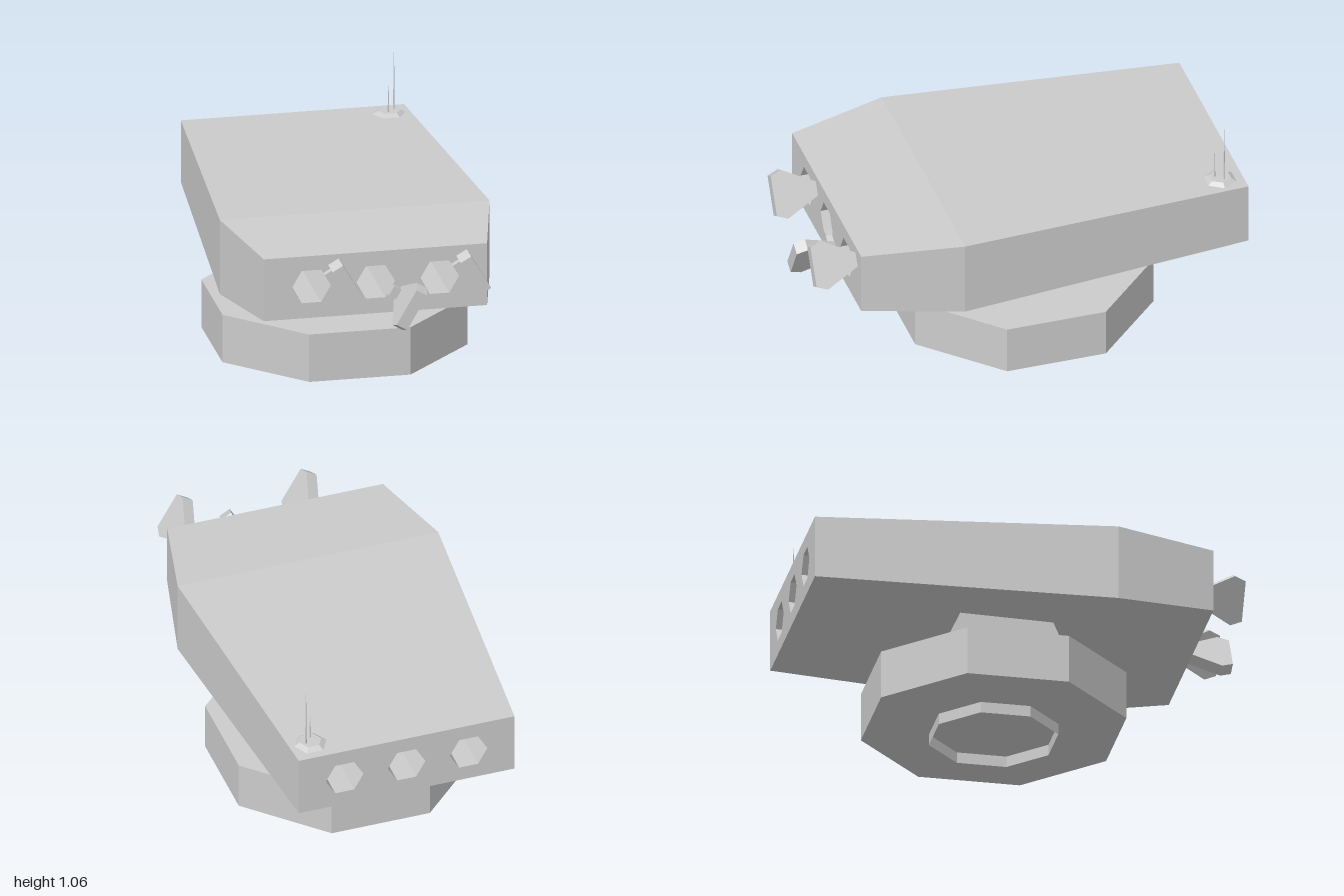
import * as THREE from 'three';

const mat = new THREE.MeshStandardMaterial({ color: 0xcccccc, flatShading: true });
const thin = new THREE.MeshStandardMaterial({ color: 0xcccccc, flatShading: true, side: THREE.DoubleSide });

const HOLE_X = [-0.29, 0, 0.29], HOLE_Y = 0.63, HOLE_R = 0.088;
// Hull sections, front to back: z, half width, bottom, top
const SECTIONS = [
  [0.8, 0.505, 0.482, 0.774],
  [0.35, 0.61, 0.454, 0.804],
  [-1, 0.505, 0.485, 0.776],
];

function add(parent, name, geometry, x = 0, y = 0, z = 0, material = mat) {
  const mesh = new THREE.Mesh(geometry, material);
  mesh.name = name;
  mesh.position.set(x, y, z);
  parent.add(mesh);
  return mesh;
}

const polygon = (pts) => new THREE.Shape(pts.map(([x, y]) => new THREE.Vector2(x, y)));

// Regular prism around y, turned by an angle
function prism(rTop, rBottom, height, sides, turn, open = false) {
  return new THREE.CylinderGeometry(rTop, rBottom, height, sides, 1, open).rotateY(turn);
}

function hullSides() {
  const rings = SECTIONS.map(([z, w, b, t]) => [[-w, b, z], [w, b, z], [w, t, z], [-w, t, z]]);
  const pos = [];
  for (let s = 0; s < rings.length - 1; s++) {
    const a = rings[s], b = rings[s + 1];
    for (let i = 0; i < 4; i++) {
      const j = (i + 1) % 4;
      pos.push(...a[i], ...b[i], ...b[j], ...a[i], ...b[j], ...a[j]);
    }
  }
  const g = new THREE.BufferGeometry();
  g.setAttribute('position', new THREE.Float32BufferAttribute(pos, 3));
  g.computeVertexNormals();
  return g;
}

// End wall pierced by the three hexagonal tubes
function endWall([, w, b, t]) {
  const shape = polygon([[-w, b], [w, b], [w, t], [-w, t]]);
  for (const x of HOLE_X) {
    const hex = [];
    for (let k = 0; k < 6; k++) {
      const a = -k * Math.PI / 3;
      hex.push([x + HOLE_R * Math.cos(a), HOLE_Y + HOLE_R * Math.sin(a)]);
    }
    shape.holes.push(polygon(hex));
  }
  return new THREE.ShapeGeometry(shape);
}

// Side profile (z, y) extruded across x
function crossBlock(profile, width) {
  return new THREE.ExtrudeGeometry(polygon(profile), { depth: width, bevelEnabled: false })
    .translate(0, 0, -width / 2).rotateY(-Math.PI / 2);
}

// Opened tube cover, hinged on one edge of its hexagonal hole
function tubeCover(holeX, outward) {
  const cover = new THREE.Group();
  cover.name = 'tubeCover';
  const t = 0.055, reach = 0.142;
  const outline = [[-0.032, 0.8], [0.032, 0.8], [0.11, 0.95], [0.09, 1], [-0.09, 1], [-0.11, 0.95]];
  const plate = new THREE.ExtrudeGeometry(polygon(outline), { depth: t, bevelEnabled: false })
    .translate(0, 0, -t / 2).rotateX(Math.PI / 2);
  add(cover, 'coverPlate', plate, 0, reach, 0);
  add(cover, 'coverHinge', new THREE.BoxGeometry(0.05, 0.045, 0.04), 0, reach - 0.043, 0.81);
  cover.position.set(holeX, HOLE_Y, 0);
  cover.rotation.z = outward - Math.PI / 2;
  return cover;
}

export function createModel() {
  const model = new THREE.Group();
  model.name = 'launcherTurret';

  // Hull with straight-through launch tubes
  const hull = new THREE.Group();
  hull.name = 'hull';
  model.add(hull);
  add(hull, 'hullShell', hullSides());
  add(hull, 'frontWall', endWall(SECTIONS[0]), 0, 0, 0.8);
  add(hull, 'backWall', endWall(SECTIONS[2]), 0, 0, -1, thin);
  for (const x of HOLE_X) {
    const tube = prism(HOLE_R, HOLE_R, 1.8, 6, Math.PI / 2, true).rotateX(Math.PI / 2);
    add(hull, 'launchTube', tube, x, HOLE_Y, -0.1, thin);
  }

  // Covers swing up on the outer tubes and down on the middle one
  HOLE_X.forEach((x, i) => model.add(tubeCover(x, (i === 1 ? -1 : 1) * Math.PI / 6)));

  // Tapered neck, with cheeks reaching further into the hull
  add(model, 'neck', crossBlock([[0.2, 0.275], [0.085, 0.54], [-0.268, 0.54], [-0.39, 0.275]], 0.58));
  for (const s of [-1, 1]) {
    add(model, 'neckCheek', crossBlock([[0.085, 0.54], [0.075, 0.565], [-0.257, 0.565], [-0.268, 0.54]], 0.12), s * 0.23);
  }

  // Octagonal turning base and the open collar below it
  const oct = 1 / Math.cos(Math.PI / 8);
  add(model, 'turretBase', prism(0.554 * oct, 0.554 * oct, 0.224, 8, Math.PI / 8), 0, 0.163, -0.092);
  add(model, 'baseCollar', prism(0.27 * oct, 0.27 * oct, 0.051, 8, Math.PI / 8, true), 0, 0.0255, -0.092, thin);

  // Antenna cluster on the rear left corner
  const antenna = new THREE.Group();
  antenna.name = 'antenna';
  model.add(antenna);
  add(antenna, 'antennaFoot', prism(0.052, 0.08, 0.018, 6, Math.PI / 2), 0.415, 0.784, -0.895);
  for (const [x, z, top] of [[0.44, -0.908, 1.06], [0.408, -0.873, 0.915]]) {
    const h = top - 0.79;
    add(antenna, 'antennaRod', prism(0.001, 0.004, h, 6, 0), x, 0.79 + h / 2, z);
  }
  return model;
}
